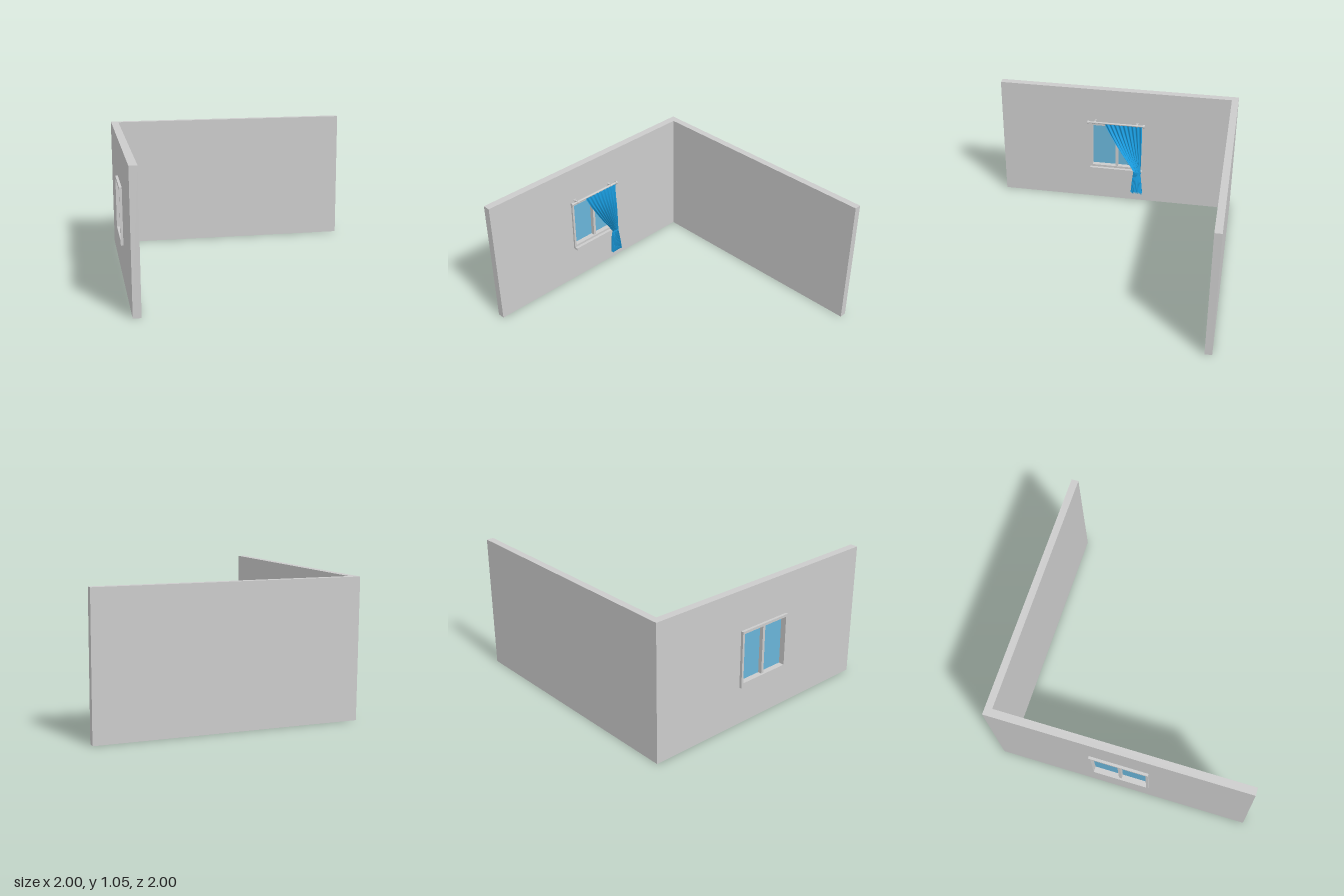
import * as THREE from 'three';

const grey = new THREE.MeshStandardMaterial({ color: 0xcccccc });
const glassBlue = new THREE.MeshStandardMaterial({ color: 0x69b4d8 });
const curtainBlue = new THREE.MeshStandardMaterial({ color: 0x1a9fe3, side: THREE.DoubleSide });

export function createModel() {
  const model = new THREE.Group();

  const add = (name, geometry, material = grey) => {
    const mesh = new THREE.Mesh(geometry, material);
    mesh.name = name;
    model.add(mesh);
    return mesh;
  };
  // Box given by its minimum and maximum corners
  const box = (name, x0, x1, y0, y1, z0, z1, material) =>
    add(name, new THREE.BoxGeometry(x1 - x0, y1 - y0, z1 - z0), material)
      .position.set((x0 + x1) / 2, (y0 + y1) / 2, (z0 + z1) / 2);
  const rectangle = (path, z0, z1, y0, y1) =>
    path.moveTo(z0, y0).lineTo(z1, y0).lineTo(z1, y1).lineTo(z0, y1).closePath();
  // Slab in the z-y plane with a rectangular hole, from x0 to x1
  const slabWithHole = (name, x0, x1, outer, inner) => {
    const shape = rectangle(new THREE.Shape(), ...outer);
    shape.holes.push(rectangle(new THREE.Path(), ...inner));
    const geometry = new THREE.ExtrudeGeometry(shape, { depth: x1 - x0, bevelEnabled: false });
    geometry.rotateY(-Math.PI / 2).translate(x1, 0, 0);
    add(name, geometry);
  };

  // Walls
  slabWithHole('sideWall', -0.98, -0.92, [-1, 1, 0, 1.05], [-0.22, 0.22, 0.305, 0.73]);
  box('backWall', -0.92, 1, 0, 1.05, -1, -0.945);

  // Window
  slabWithHole('windowFrame', -1, -0.905, [-0.228, 0.228, 0.297, 0.74], [-0.21, 0.21, 0.333, 0.72]);
  box('windowMullion', -0.985, -0.912, 0.333, 0.72, -0.011, 0.011);
  box('windowSill', -0.905, -0.88, 0.297, 0.315, -0.228, 0.228);
  for (const s of [-1, 1])
    box('glassPane', -0.955, -0.945, 0.333, 0.72, s > 0 ? 0.011 : -0.21, s > 0 ? 0.21 : -0.011, glassBlue);

  // Curtain rod with end caps and wall brackets
  const rodX = -0.885, rodY = 0.756;
  const rodPart = (name, radius, length, z) => {
    const mesh = add(name, new THREE.CylinderGeometry(radius, radius, length, 16));
    mesh.rotation.x = Math.PI / 2;
    mesh.position.set(rodX, rodY, z);
  };
  rodPart('curtainRod', 0.008, 0.47, 0.003);
  for (const z of [-0.234, 0.243]) rodPart('rodEndCap', 0.014, 0.014, z);
  for (const z of [-0.175, 0.185]) {
    rodPart('bracketRing', 0.011, 0.016, z);
    box('rodBracket', -0.92, rodX, rodY - 0.006, rodY + 0.006, z - 0.006, z + 0.006);
    box('bracketPlate', -0.92, -0.914, rodY - 0.011, rodY + 0.011, z - 0.012, z + 0.012);
  }

  // Pleated curtain: [height, right edge z, left edge z, middle x, pleat depth]
  const rows = [
    [0.750, -0.220, 0.103, -0.880, 0.004],
    [0.650, -0.220, 0.053, -0.878, 0.007],
    [0.550, -0.220, -0.004, -0.873, 0.010],
    [0.450, -0.219, -0.066, -0.870, 0.010],
    [0.370, -0.218, -0.122, -0.867, 0.009],
    [0.310, -0.215, -0.158, -0.864, 0.007],
    [0.270, -0.221, -0.148, -0.863, 0.009],
    [0.190, -0.230, -0.141, -0.860, 0.012],
    [0.105, -0.238, -0.134, -0.857, 0.014],
  ];
  const across = 108, down = 40, pleats = 9;
  const positions = [], indices = [];
  for (let j = 0; j <= down; j++) {
    const t = (j / down) * (rows.length - 1);
    const k = Math.min(Math.floor(t), rows.length - 2);
    const [y, z0, z1, x, depth] = rows[k].map((v, i) => THREE.MathUtils.lerp(v, rows[k + 1][i], t - k));
    for (let i = 0; i <= across; i++) {
      const u = i / across;
      const fold = Math.sin(u * pleats * 2 * Math.PI + 0.6 * Math.sin(5 * u));
      const hem = 0.008 * u * (1 - u) * Math.max(0, (0.3 - y) / 0.2);
      positions.push(x + depth * fold, y + hem, THREE.MathUtils.lerp(z0, z1, u));
      if (i < across && j < down) {
        const a = j * (across + 1) + i, b = a + across + 1;
        indices.push(a, b, a + 1, b, b + 1, a + 1);
      }
    }
  }
  const cloth = new THREE.BufferGeometry();
  cloth.setAttribute('position', new THREE.Float32BufferAttribute(positions, 3));
  cloth.setIndex(indices);
  cloth.computeVertexNormals();
  add('curtain', cloth, curtainBlue);

  // Tie band around the gathered cloth
  const tie = add('curtainTie', new THREE.CylinderGeometry(1, 1, 0.014, 24, 1, true), curtainBlue);
  tie.scale.set(0.01, 1, 0.034);
  tie.position.set(-0.864, 0.308, -0.187);

  return model;
}
